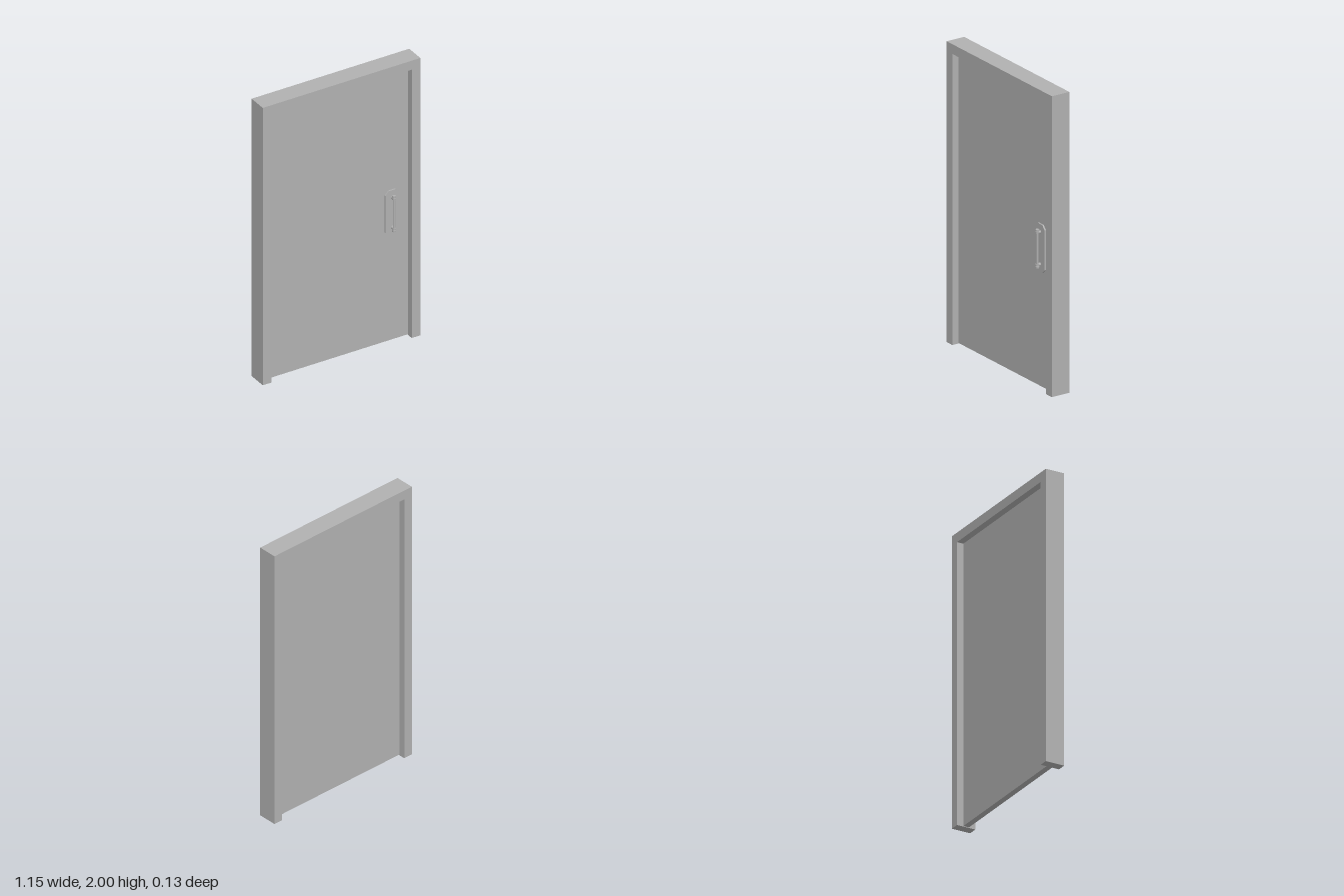
import * as THREE from 'three';

const grey = new THREE.MeshStandardMaterial({ color: 0xb0b0b0 });
grey.name = 'doorGrey';

function polygon(points) {
  return new THREE.Shape(points.map(([x, y]) => new THREE.Vector2(x, y)));
}

function extrude(shape, depth) {
  return new THREE.ExtrudeGeometry(shape, { depth, bevelEnabled: false });
}

function addPart(parent, name, geometry, x = 0, y = 0, z = 0) {
  const mesh = new THREE.Mesh(geometry, grey);
  mesh.name = name;
  mesh.position.set(x, y, z);
  parent.add(mesh);
  return mesh;
}

export function createModel() {
  const model = new THREE.Group();
  model.name = 'door';

  // Frame: two jambs and a head in one U-shaped extrusion
  const w = 0.575, inner = 0.512, head = 1.935, depth = 0.132;
  const frame = polygon([
    [-w, 0], [-inner, 0], [-inner, head], [inner, head],
    [inner, 0], [w, 0], [w, 2], [-w, 2],
  ]);
  addPart(model, 'frame', extrude(frame, depth), 0, 0, -depth / 2);

  // Leaf, recessed on both faces
  const leafFront = 0.02, leafBottom = 0.004;
  addPart(model, 'leaf',
    new THREE.BoxGeometry(inner * 2, head - leafBottom, leafFront * 2),
    0, (head + leafBottom) / 2, 0);

  // Pull handle on the front
  const handle = new THREE.Group();
  handle.name = 'handle';
  handle.position.set(0.393, 0.926, leafFront);
  model.add(handle);

  // Backplate with chamfered corners
  const hw = 0.051, hh = 0.16, cx = 0.026, cy = 0.027;
  const plate = polygon([
    [-hw + cx, -hh], [hw - cx, -hh], [hw, -hh + cy], [hw, hh - cy],
    [hw - cx, hh], [-hw + cx, hh], [-hw, hh - cy], [-hw, -hh + cy],
  ]);
  addPart(handle, 'backplate', extrude(plate, 0.01));

  // Grip with a mount and collar at each end
  addPart(handle, 'grip', new THREE.CylinderGeometry(0.008, 0.008, 0.25, 10), 0, 0, 0.03);
  for (const s of [-1, 1]) {
    const mount = addPart(handle, 'mount',
      new THREE.CylinderGeometry(0.01, 0.012, 0.022, 10), 0, s * 0.108, 0.019);
    mount.rotation.x = Math.PI / 2;
    addPart(handle, 'collar', new THREE.CylinderGeometry(0.012, 0.012, 0.012, 10), 0, s * 0.108, 0.03);
    addPart(handle, 'endCap', new THREE.CylinderGeometry(0.012, 0.012, 0.012, 10), 0, s * 0.123, 0.03);
  }

  return model;
}
